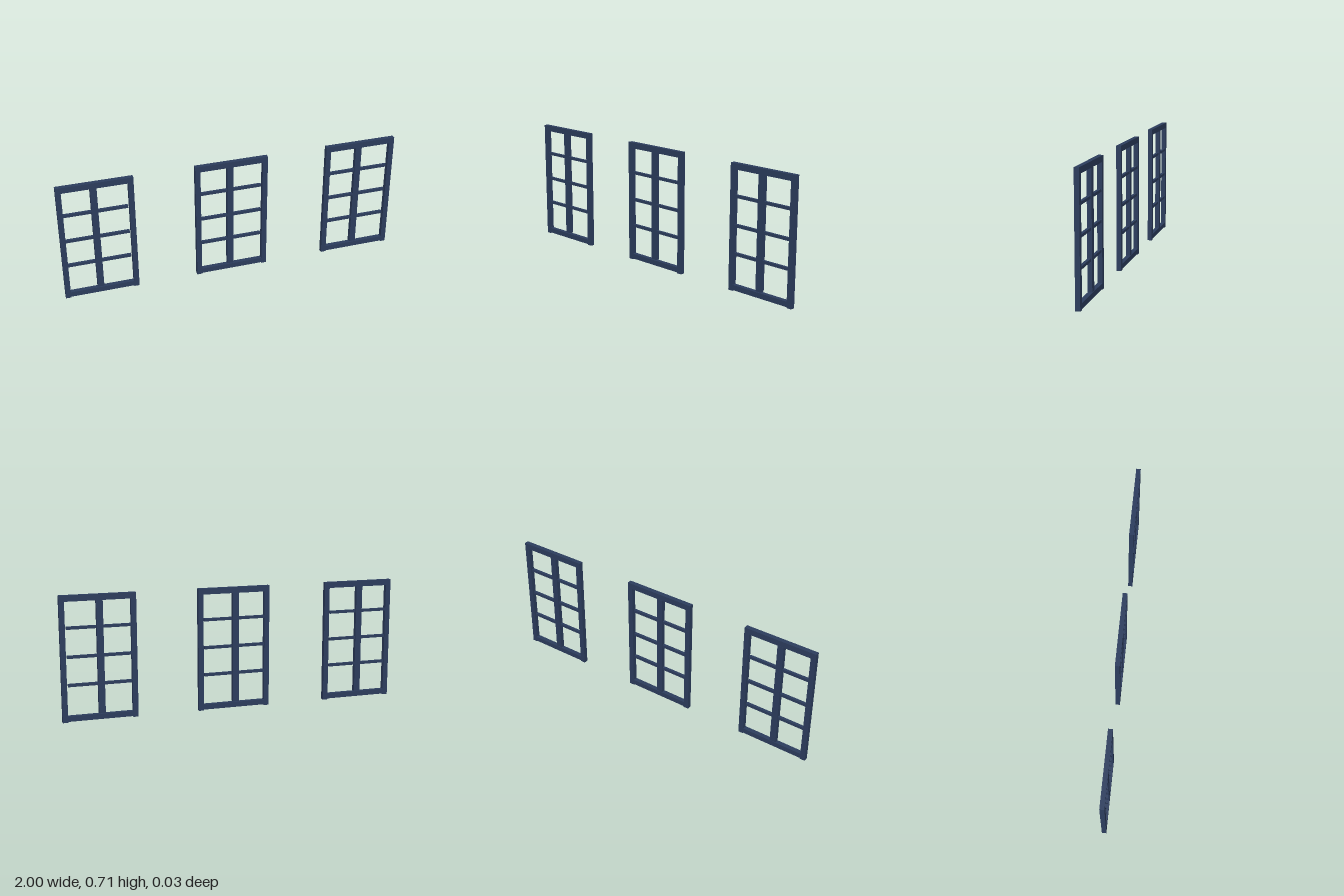
import * as THREE from 'three';

const material = new THREE.MeshStandardMaterial({ color: 0x2c3d5e });

// Box given by its minimum and maximum on each axis
function bar(name, [x0, x1], [y0, y1], [z0, z1]) {
  const mesh = new THREE.Mesh(new THREE.BoxGeometry(x1 - x0, y1 - y0, z1 - z0), material);
  mesh.name = name;
  mesh.position.set((x0 + x1) / 2, (y0 + y1) / 2, (z0 + z1) / 2);
  return mesh;
}

function createWindow() {
  const win = new THREE.Group();
  const half = 0.215, jamb = 0.03, height = 0.715, railY = 0.681;
  const inner = half - jamb;
  const frameZ = [-0.0125, 0.014];

  // Outer frame
  win.add(bar('topRail', [-half, half], [railY, height], frameZ));
  win.add(bar('rightJamb', [-half, -inner], [0, railY], frameZ));
  win.add(bar('leftJamb', [inner, half], [0, railY], frameZ));
  win.add(bar('bottomRail', [-inner, inner], [0.005, 0.035], frameZ));

  // Central upright, slightly off centre and set towards the back
  win.add(bar('mullion', [-0.027, 0.01], [0.039, railY], [-0.014, 0.0115]));

  // Thin glazing bars
  for (const y of [0.21, 0.37, 0.533]) {
    win.add(bar('glazingBar', [-inner, 0.178], [y - 0.008, y + 0.008], [-0.009, 0.008]));
  }
  return win;
}

export function createModel() {
  const model = new THREE.Group();
  model.name = 'windowRow';
  // Three identical windows in a row
  [-0.785, -0.004, 0.785].forEach((x, i) => {
    const win = createWindow();
    win.name = ['rightWindow', 'middleWindow', 'leftWindow'][i];
    win.position.x = x;
    model.add(win);
  });
  return model;
}
